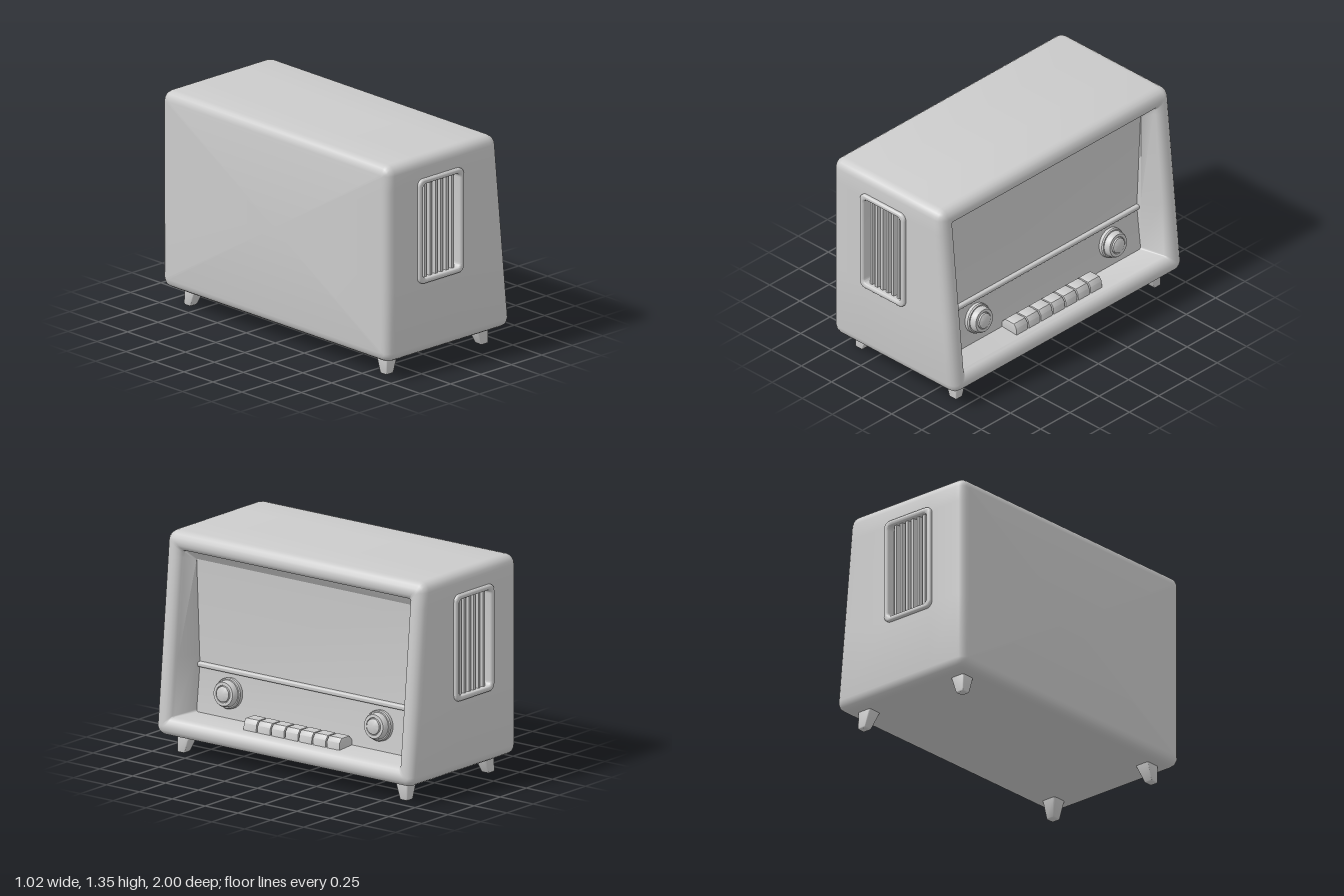
import * as THREE from 'three';
import { toCreasedNormals } from 'three/addons/utils/BufferGeometryUtils.js';
import { RoundedBoxGeometry } from 'three/addons/geometries/RoundedBoxGeometry.js';

const material = new THREE.MeshStandardMaterial({ color: 0xcccccc });

function add(parent, name, geometry, x = 0, y = 0, z = 0) {
  const mesh = new THREE.Mesh(geometry, material);
  mesh.name = name;
  mesh.position.set(x, y, z);
  parent.add(mesh);
  return mesh;
}

// Traces a rounded rectangle, centred on the origin, on a Shape or Path
function roundedRect(path, w, h, r) {
  const x = w / 2 - r, y = h / 2 - r;
  path.absarc(x, y, r, 0, Math.PI / 2);
  path.absarc(-x, y, r, Math.PI / 2, Math.PI);
  path.absarc(-x, -y, r, Math.PI, Math.PI * 1.5);
  path.absarc(x, -y, r, Math.PI * 1.5, Math.PI * 2);
  path.closePath();
  return path;
}

// Side vent: position and size of the cut in the cabinet wall
const vent = { x: -0.08, y: 0.89, w: 0.32, h: 0.605 };

const BOTTOM = 0.11, TOP = 1.35, HALF = 0.98, R = 0.06;
const frontX = y => 0.508 - 0.0955 * (y - 0.17); // leaning front plane
const CORNER_STEPS = 4;

// One cross-section: rounded rectangle in z and y, with x given by a rule
function section(hz, y0, y1, r, xAt) {
  const points = [];
  const put = (u, y) => points.push([xAt(y), y, -u]);
  const clampY = y => Math.min(Math.max(y, y0 + r), y1 - r);
  const low = clampY(vent.y - vent.h / 2), high = clampY(vent.y + vent.h / 2);
  const corner = (cu, cy, start) => {
    for (let i = 0; i <= CORNER_STEPS; i++) {
      const a = start + (i / CORNER_STEPS) * Math.PI / 2;
      put(cu + r * Math.cos(a), cy + r * Math.sin(a));
    }
  };
  corner(hz - r, y0 + r, -Math.PI / 2);
  put(hz, low);
  put(hz, high);
  corner(hz - r, y1 - r, 0);
  corner(-hz + r, y1 - r, Math.PI / 2);
  put(-hz, high);
  put(-hz, low);
  corner(-hz + r, y0 + r, Math.PI);
  return points;
}

// Cabinet shell: closed back, rounded edges, vent holes, lip and inner walls
function cabinetGeometry() {
  const loops = [];
  const inset = (d, xAt) => loops.push(
    section(HALF - d, BOTTOM + d, TOP - d, Math.max(R - d, 0.012), xAt));
  loops.push(section(0, 0.73, 0.73, 0, () => -0.51));
  for (let i = 0; i <= 4; i++) {
    const a = (i / 4) * Math.PI / 2;
    inset(R * (1 - Math.sin(a)), () => -0.51 + R * (1 - Math.cos(a)));
  }
  const ventLoop = loops.length;
  inset(0, () => vent.x - vent.w / 2);
  inset(0, () => vent.x + vent.w / 2);
  for (let i = 0; i <= 4; i++) {
    const a = (i / 4) * Math.PI / 2;
    inset(R * (1 - Math.cos(a)), y => frontX(y) - R * (1 - Math.sin(a)));
  }
  for (let i = 1; i <= 4; i++) {
    const a = (i / 4) * Math.PI / 2;
    inset(R + 0.055 * Math.sin(a), y => frontX(y) - 0.05 * (1 - Math.cos(a)));
  }
  loops.push(section(0.815, 0.235, 1.18, 0.015, () => 0.31));
  loops.push(section(0.815, 0.235, 1.18, 0.015, () => 0.24));

  const n = loops[0].length, index = [];
  const gaps = [CORNER_STEPS + 1, 3 * (CORNER_STEPS + 1) + 2];
  for (let i = 0; i < loops.length - 1; i++) {
    for (let j = 0; j < n; j++) {
      if (i === ventLoop && gaps.includes(j)) continue;
      const a = i * n + j, b = i * n + (j + 1) % n;
      if (i > 0) index.push(a, b, a + n);
      index.push(b, b + n, a + n);
    }
  }
  const g = new THREE.BufferGeometry();
  g.setAttribute('position', new THREE.Float32BufferAttribute(loops.flat(2), 3));
  g.setIndex(index);
  return toCreasedNormals(g, 0.6);
}

// Extrudes an x-y profile along z, centred on z = 0
function extrudeAlongZ(points, length, bevel = 0) {
  const g = new THREE.ExtrudeGeometry(new THREE.Shape(points.map(p => new THREE.Vector2(...p))), {
    depth: length - 2 * bevel, bevelEnabled: bevel > 0, bevelSize: bevel,
    bevelThickness: bevel, bevelOffset: -bevel, bevelSegments: 2,
  });
  g.translate(0, 0, -length / 2 + bevel);
  return toCreasedNormals(g, 0.6);
}

// Vent with a rounded frame, a back plate and upright slats
function createVent() {
  const group = new THREE.Group();
  group.name = 'sideVent';
  const b = 0.012;
  const shape = roundedRect(new THREE.Shape(), 0.37 - 2 * b, 0.66 - 2 * b, 0.03);
  shape.holes.push(roundedRect(new THREE.Path(), 0.305 + 2 * b, 0.595 + 2 * b, 0.04));
  const frame = new THREE.ExtrudeGeometry(shape, {
    depth: 0.07 - 2 * b, bevelSize: b, bevelThickness: b, bevelSegments: 3, curveSegments: 6,
  });
  add(group, 'ventFrame', toCreasedNormals(frame, 0.7), 0, 0, 0.93 + b);
  add(group, 'ventBack', new THREE.BoxGeometry(0.35, 0.64, 0.02), 0, 0, 0.93);
  const slat = extrudeAlongZ([[-0.017, 0], [0.017, 0], [0.009, 0.035], [-0.009, 0.035]], 0.6);
  slat.rotateX(Math.PI / 2);
  for (let i = 0; i < 6; i++) {
    const m = add(group, 'ventSlat', slat, (i - 2.5) * 0.045, 0, 0.938);
    m.scale.y = 1;
  }
  return group;
}

export function createModel() {
  const model = new THREE.Group();
  model.name = 'tableRadio';
  add(model, 'cabinet', cabinetGeometry());

  // Front panel: upper face leans out at the top, lower face at the bottom
  add(model, 'frontPanel', extrudeAlongZ(
    [[0.2, 0.23], [0.308, 0.23], [0.275, 0.525], [0.307, 1.19], [0.2, 1.19]], 1.65));
  add(model, 'trimBar', new RoundedBoxGeometry(0.04, 0.032, 1.64, 2, 0.012), 0.28, 0.525, 0);

  // Tuning knobs, tilted with the lower face
  const knob = new THREE.LatheGeometry([
    [0.094, -0.02], [0.094, 0.022], [0.088, 0.03], [0.081, 0.03], [0.079, 0.06], [0.072, 0.07],
    [0.054, 0.07], [0.052, 0.064], [0.049, 0.064], [0.047, 0.076], [0.04, 0.08], [0, 0.08],
  ].map(p => new THREE.Vector2(...p)), 32);
  const knobGeometry = toCreasedNormals(knob, 0.6);
  for (const side of [1, -1]) {
    add(model, 'knob', knobGeometry, 0.29, 0.388, 0.572 * side).rotation.z = -Math.PI / 2 + 0.11;
  }

  // Row of push keys
  const key = extrudeAlongZ(
    [[0.27, 0.215], [0.428, 0.215], [0.424, 0.27], [0.405, 0.297], [0.33, 0.297], [0.285, 0.25]], 0.1, 0.008);
  for (let i = -3; i <= 3; i++) add(model, 'pushKey', key, 0, 0, i * 0.1055);

  // Vents on both ends
  for (const side of [1, -1]) {
    const group = createVent();
    group.position.set(vent.x, vent.y, 0);
    group.rotation.y = side > 0 ? 0 : Math.PI;
    model.add(group);
  }

  // Feet: blocks narrowed toward their outer corner at the ground
  for (const sx of [1, -1]) {
    for (const sz of [1, -1]) {
      const g = new RoundedBoxGeometry(0.105, 0.13, 0.1, 2, 0.012);
      const p = g.attributes.position;
      for (let i = 0; i < p.count; i++) {
        const k = 1 - 0.45 * (0.5 - p.getY(i) / 0.13);
        p.setX(i, sx * (0.0525 + (sx * p.getX(i) - 0.0525) * k));
        p.setZ(i, sz * (0.05 + (sz * p.getZ(i) - 0.05) * k));
      }
      g.computeVertexNormals();
      add(model, 'foot', toCreasedNormals(g, 0.6), sx * 0.367, 0.065, sz * 0.825);
    }
  }
  return model;
}
